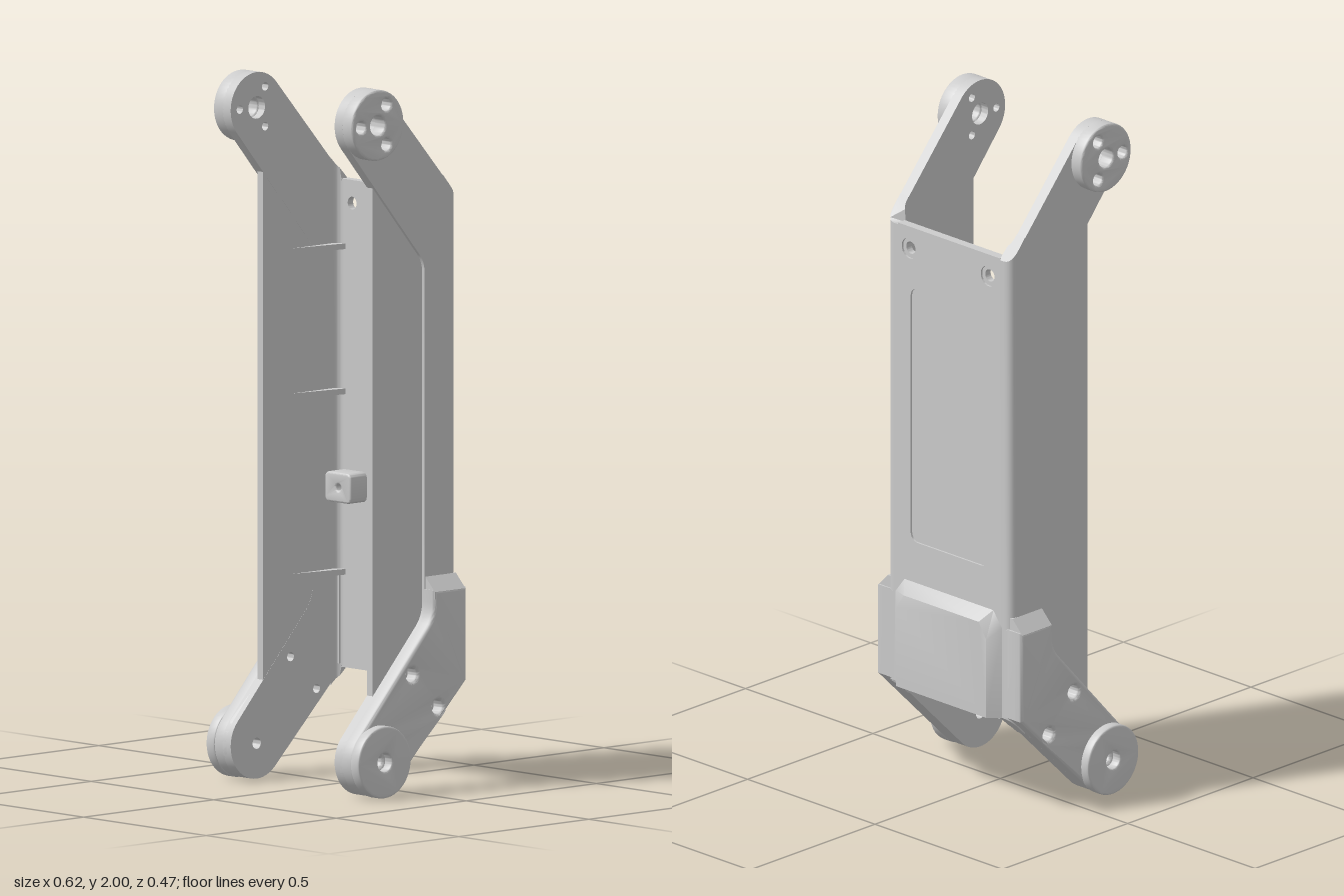
import * as THREE from 'three';
import { toCreasedNormals } from 'three/addons/utils/BufferGeometryUtils.js';

const material = new THREE.MeshStandardMaterial({ color: 0xcccccc });
const BACK = -0.205;
const TOP = { z: 0.135, y: 1.9 }, LOW = { z: 0.135, y: 0.103 };
const R = 0.1;

export function createModel() {
  const model = new THREE.Group();

  const add = (parent, name, geometry) => {
    const mesh = new THREE.Mesh(toCreasedNormals(geometry, 0.6), material);
    mesh.name = name;
    parent.add(mesh);
    return mesh;
  };
  const extrude = (shape, depth, bevel = 0) => {
    const g = new THREE.ExtrudeGeometry(shape, {
      depth: depth - 2 * bevel, curveSegments: 24, bevelEnabled: bevel > 0,
      bevelSize: bevel, bevelThickness: bevel, bevelOffset: -bevel, bevelSegments: 3,
    });
    return g.translate(0, 0, bevel);
  };
  const polygon = (pts) => new THREE.Shape(pts.map(([a, b]) => new THREE.Vector2(a, b)));
  const hole = (shape, x, y, r) => shape.holes.push(new THREE.Path().absarc(x, y, r, 0, Math.PI * 2, true));
  // Side outlines are given as [z, y] and extruded along x, on either side
  const sideShape = (pts) => polygon(pts.map(([z, y]) => [-z, y]));
  const alongX = (shape, side, x0, x1, bevel = 0) =>
    extrude(shape, x1 - x0, bevel).rotateY(Math.PI / 2).translate(side > 0 ? x0 : -x1, 0, 0);
  // Plan outlines are given as [x, z] and extruded up y
  const alongY = (pts, side, y0, y1) =>
    extrude(polygon(pts.map(([x, z]) => [side * x, -z])), y1 - y0).rotateX(-Math.PI / 2).translate(0, y0, 0);
  const roundedRect = (x0, y0, x1, y1, r) => {
    const pts = [];
    [[x1 - r, y1 - r], [x0 + r, y1 - r], [x0 + r, y0 + r], [x1 - r, y0 + r]].forEach(([cx, cy], q) => {
      for (let i = 0; i <= 6; i++) {
        const t = (q + i / 6) * Math.PI / 2;
        pts.push([cx + r * Math.cos(t), cy + r * Math.sin(t)]);
      }
    });
    return polygon(pts);
  };
  // Half-round arm end, clockwise from the given angle in the [z, y] plane
  const armEnd = (c, startDeg) => Array.from({ length: 25 }, (_, i) => {
    const t = (startDeg - i * 7.5) * Math.PI / 180;
    return [c.z + R * Math.cos(t), c.y + R * Math.sin(t)];
  });
  const bend = (a, b, c) => new THREE.QuadraticBezierCurve(
    new THREE.Vector2(...a), new THREE.Vector2(...b), new THREE.Vector2(...c)).getPoints(6).map((p) => [p.x, p.y]);

  const screwHoles = (shape, r) => {
    for (let i = 0; i < 3; i++) {
      const t = i * Math.PI * 2 / 3;
      hole(shape, -(TOP.z + 0.065 * Math.cos(t)), TOP.y + 0.065 * Math.sin(t), r);
    }
  };
  const armHoles = (shape, r) => [[0.005, 0.335], [-0.095, 0.235]].forEach(([z, y]) => hole(shape, -z, y, r));

  // Back plate: inner skin plus outer skin with a shallow panel recess
  const back = new THREE.Group();
  back.name = 'backPlate';
  model.add(back);
  const plate = (holeR) => {
    const s = polygon([[-0.2, 0.29], [0.2, 0.29], [0.2, 1.67], [-0.2, 1.67]]);
    [-1, 1].forEach((side) => hole(s, side * 0.155, 1.605, holeR));
    return s;
  };
  add(back, 'backInnerSkin', extrude(plate(0.018), 0.021).translate(0, 0, -0.199));
  const outer = plate(0.03);
  outer.holes.push(new THREE.Path(roundedRect(-0.15, 0.73, 0.15, 1.49, 0.025).getPoints().reverse()));
  add(back, 'backOuterSkin', extrude(outer, 0.006).translate(0, 0, BACK));

  // Raised tapered housing low on the back
  const bump = extrude(polygon([[-0.21, 0.295], [0.21, 0.295], [0.21, 0.565], [0.175, 0.61], [-0.175, 0.61], [-0.21, 0.565]]), 0.032);
  const bp = bump.attributes.position;
  for (let i = 0; i < bp.count; i++) {
    if (bp.getZ(i) > 0.01) continue;
    bp.setX(i, bp.getX(i) * 0.84);
    if (bp.getY(i) > 0.4) bp.setY(i, bp.getY(i) - 0.035);
  }
  bump.translate(0, 0, BACK - 0.031);
  bump.computeVertexNormals();
  add(model, 'rearHousing', bump);

  for (const side of [1, -1]) {
    const wall = new THREE.Group();
    wall.name = side > 0 ? 'leftSide' : 'rightSide';
    model.add(wall);

    // Rounded corner joining the back to the side, ends sloped with the arms
    const corner = alongY([[0.198, BACK], ...bend([0.215, BACK], [0.245, BACK], [0.245, -0.175]),
      [0.245, -0.15], ...bend([0.212, -0.15], [0.212, -0.178], [0.19, -0.178])], side, 0.295, 1.665);
    const cp = corner.attributes.position;
    for (let i = 0; i < cp.count; i++) {
      const d = cp.getZ(i) - BACK;
      if (Math.abs(cp.getX(i)) > 0.2) cp.setY(i, cp.getY(i) + (cp.getY(i) > 1 ? 1.18 : -1) * d);
    }
    corner.computeVertexNormals();
    add(wall, 'cornerPost', corner);

    // One bracket profile: upper arm, upright band and lower arm
    const frame = sideShape([[-0.17, 1.705], ...armEnd(TOP, 140),
      ...bend([-0.06, 1.513], [-0.08, 1.49], [-0.08, 1.46]),
      ...bend([-0.08, 0.53], [-0.08, 0.49], [-0.055, 0.462]),
      ...armEnd(LOW, 45), [-0.17, 0.265]]);
    hole(frame, -TOP.z, TOP.y, 0.032);
    screwHoles(frame, 0.012);
    hole(frame, -LOW.z, LOW.y, 0.016);
    armHoles(frame, 0.013);
    add(wall, 'armFrame', alongX(frame, side, 0.212, 0.245));

    // Thin side panel
    add(wall, 'sidePanel', alongX(sideShape([[-0.1, 0.5], [-0.1, 1.47], [0.11, 1.72], [0.11, 0.275]]), side, 0.2125, 0.235));

    // Upper mounting disc
    const disc = new THREE.Shape().absarc(-TOP.z, TOP.y, R, 0, Math.PI * 2);
    hole(disc, -TOP.z, TOP.y, 0.028);
    screwHoles(disc, 0.018);
    add(wall, 'upperDisc', alongX(disc, side, 0.237, 0.284, 0.006));

    // Thickened lower arm with counterbored holes
    const thick = sideShape([[BACK, 0.3], [BACK, 0.565], [-0.08, 0.565],
      ...bend([-0.08, 0.53], [-0.08, 0.49], [-0.055, 0.462]), ...armEnd(LOW, 45)]);
    hole(thick, -LOW.z, LOW.y, 0.016);
    armHoles(thick, 0.02);
    add(wall, 'lowerArm', alongX(thick, side, 0.22, 0.285, 0.01));
    const filler = new THREE.BoxGeometry(0.06, 0.262, 0.035);
    add(wall, 'lowerCorner', filler.toNonIndexed().translate(side * 0.23, 0.431, BACK + 0.0175));

    // Sloped shoulder blending the thick arm into the band
    const shoulder = polygon([[0.215, 0.54], [0.284, 0.54], [0.284, 0.56], [0.245, 0.6], [0.215, 0.6]].map(([x, y]) => [side * x, y]));
    add(wall, 'shoulder', extrude(shoulder, 0.117).translate(0, 0, -0.2));

    // Lower pivot boss
    const boss = new THREE.Shape().absarc(-LOW.z, LOW.y, R + 0.002, 0, Math.PI * 2);
    hole(boss, -LOW.z, LOW.y, 0.026);
    add(wall, 'lowerBoss', alongX(boss, side, 0.277, 0.312, 0.006));

    // Tapered inner ribs
    for (const y of [0.56, 1.07, 1.48]) {
      add(wall, 'rib', alongY([[0.182, -0.18], [0.214, 0.01], [0.214, -0.18]], side, y - 0.008, y + 0.008));
    }

    // Mounting lug on the inside of the back
    const lug = side > 0 ? roundedRect(0.095, 0.765, 0.2, 0.85, 0.015) : roundedRect(-0.2, 0.765, -0.095, 0.85, 0.015);
    hole(lug, side * 0.145, 0.808, 0.01);
    add(wall, 'mountingLug', extrude(lug, 0.07, 0.005).translate(0, 0, -0.185));
  }
  return model;
}
